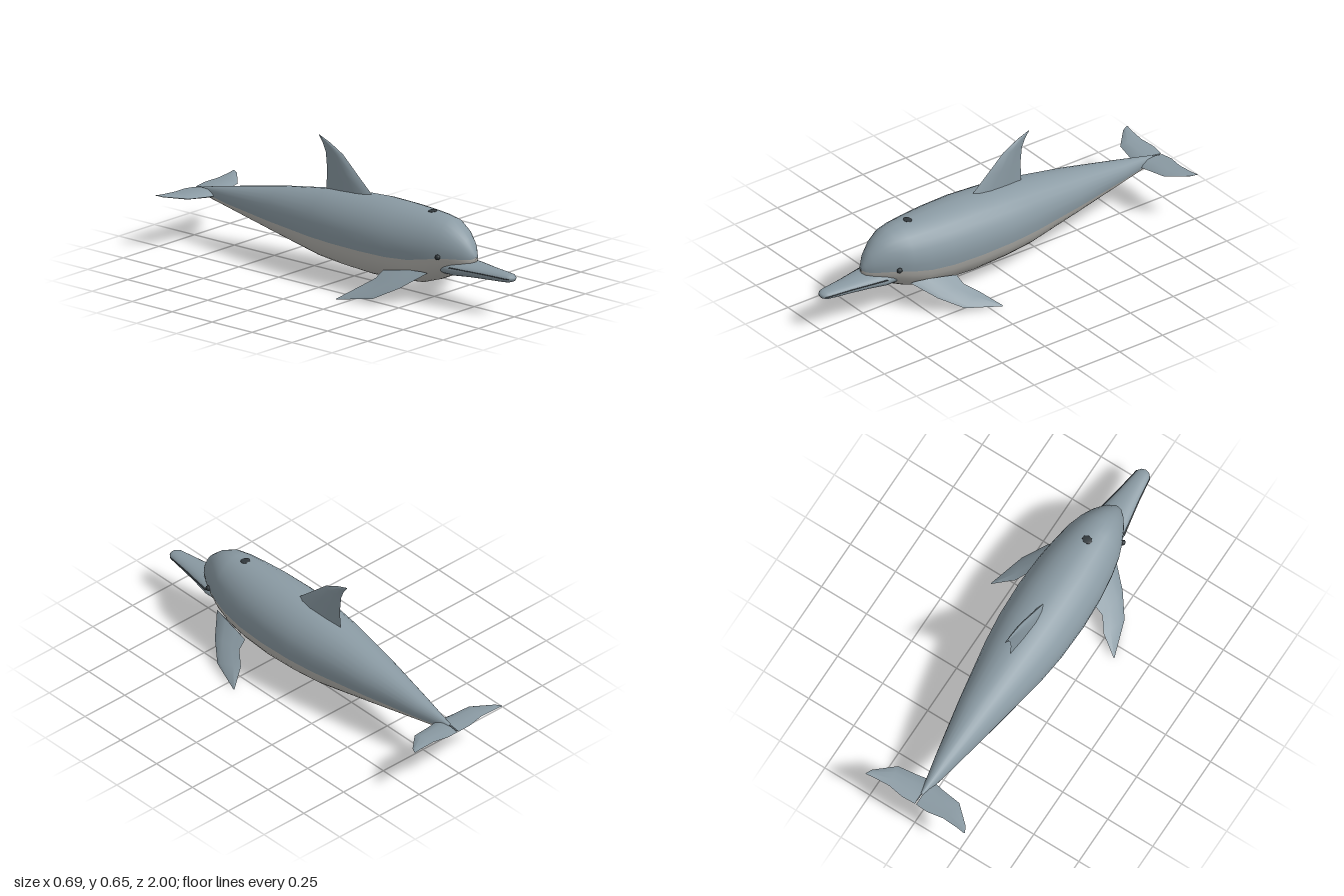
import * as THREE from 'three';
import { toCreasedNormals } from 'three/addons/utils/BufferGeometryUtils.js';

const V = (x, y, z) => new THREE.Vector3(x, y, z);
const paint = (name, color) => Object.assign(new THREE.MeshStandardMaterial({ color }), { name });

// Skin a list of equal-length rings; closed rings are capped and turned outward
function loft(rings, closed = true) {
  const n = rings[0].length, pts = rings.flat(), tris = [];
  const last = closed ? n : n - 1;
  for (let i = 0; i < rings.length - 1; i++) {
    for (let j = 0; j < last; j++) {
      const a = i * n + j, b = i * n + (j + 1) % n;
      tris.push([a, a + n, b], [b, a + n, b + n]);
    }
  }
  if (closed) {
    for (const i of [0, rings.length - 1]) {
      const c = rings[i].reduce((s, p) => s.add(p), V(0, 0, 0)).divideScalar(n);
      pts.push(c);
      for (let j = 0; j < n; j++) {
        const a = i * n + j, b = i * n + (j + 1) % n;
        tris.push(i ? [b, a, pts.length - 1] : [a, b, pts.length - 1]);
      }
    }
    const volume = tris.reduce((s, [a, b, c]) => s + pts[a].dot(V(0, 0, 0).crossVectors(pts[b], pts[c])), 0);
    if (volume < 0) tris.forEach((t) => t.reverse());
  }
  const g = new THREE.BufferGeometry().setFromPoints(pts);
  g.setIndex(tris.flat());
  g.computeVertexNormals();
  return g;
}

// Elliptical arc across the body at depth z
function arc(z, top, bottom, halfWidth, from, to, steps) {
  const mid = (top + bottom) / 2, ry = (top - bottom) / 2, out = [];
  for (let i = 0; i <= steps; i++) {
    const a = from + (to - from) * i / steps;
    out.push(V(halfWidth * Math.cos(a), mid + ry * Math.sin(a), z));
  }
  return out;
}
const oval = (z, top, bottom, hw, steps = 24) => arc(z, top, bottom, hw, 0, Math.PI * 2, steps).slice(0, -1);

// Fin with a lens section; each section is [lead, trail, half thickness]
function fin(sections, normal, side = 1) {
  const profile = [[0, 0], [0.12, 0.65], [0.35, 1], [0.7, 0.6], [1, 0], [0.7, -0.6], [0.35, -1], [0.12, -0.65]];
  const rings = sections.map(([lead, trail, half]) => profile.map(([t, w]) => {
    const p = V(...lead).lerp(V(...trail), t).addScaledVector(normal, half * w);
    p.x *= side;
    return p;
  }));
  return toCreasedNormals(loft(rings), 0.7);
}

export function createModel() {
  const model = new THREE.Group();
  model.name = 'dolphin';
  const skin = paint('blue grey skin', 0x8a9aa3);
  const pale = paint('pale belly', 0xb9b8b3);
  const dark = paint('dark detail', 0x30373b);
  const add = (name, geometry, material) => {
    const mesh = new THREE.Mesh(geometry, material);
    mesh.name = name;
    model.add(mesh);
    return mesh;
  };

  // Body stations: z, top, bottom, half width, height of the colour line
  const body = [
    [0.76, 0.245, 0.235, 0.002, 0.24],
    [0.75, 0.277, 0.2, 0.026, 0.235],
    [0.72, 0.328, 0.175, 0.055, 0.235],
    [0.67, 0.374, 0.153, 0.088, 0.236],
    [0.61, 0.406, 0.125, 0.118, 0.234],
    [0.55, 0.414, 0.098, 0.14, 0.222],
    [0.46, 0.42, 0.067, 0.159, 0.207],
    [0.34, 0.424, 0.056, 0.175, 0.2],
    [0.18, 0.425, 0.05, 0.183, 0.2],
    [0, 0.414, 0.058, 0.177, 0.2],
    [-0.15, 0.398, 0.07, 0.16, 0.2],
    [-0.45, 0.35, 0.123, 0.108, 0.203],
    [-0.75, 0.29, 0.177, 0.05, 0.211],
    [-0.94, 0.25, 0.21, 0.01, 0.224],
  ];
  const half = (upper) => body.map(([z, top, bottom, hw, split]) => {
    const a = Math.asin(THREE.MathUtils.clamp((2 * split - top - bottom) / (top - bottom), -0.95, 0.95));
    return upper ? arc(z, top, bottom, hw, a, Math.PI - a, 16)
      : arc(z, top, bottom, hw, Math.PI - a, Math.PI * 2 + a, 16);
  });
  add('back', loft(half(true), false), skin);
  add('belly', loft(half(false), false), pale);

  // Beak stations: z, top, bottom, half width
  const beak = [
    [0.6, 0.225, 0.14, 0.088], [0.67, 0.223, 0.142, 0.09], [0.76, 0.22, 0.151, 0.072],
    [0.85, 0.214, 0.157, 0.055], [0.93, 0.21, 0.162, 0.043], [0.975, 0.207, 0.166, 0.036],
    [0.994, 0.2, 0.173, 0.022], [1, 0.191, 0.183, 0.006],
  ];
  add('beak', loft(beak.map((s) => oval(...s))), skin);

  // Mouth line: a flat slab just proud of the beak sides
  const mouth = beak.slice(1, -1).map(([z, , , hw], i) => {
    const y = 0.194 - i * 0.0015;
    return oval(Math.min(z, 0.99), y + 0.004, y - 0.004, hw + 0.003);
  });
  add('mouthLine', toCreasedNormals(loft(mouth), 0.7), dark);

  add('dorsalFin', fin([
    [[0, 0.39, 0.145], [0, 0.385, -0.175], 0.022],
    [[0, 0.49, 0.03], [0, 0.49, -0.17], 0.017],
    [[0, 0.58, -0.07], [0, 0.57, -0.178], 0.011],
    [[0, 0.622, -0.15], [0, 0.613, -0.197], 0.006],
    [[0, 0.648, -0.218], [0, 0.646, -0.221], 0.001],
  ], V(1, 0, 0)), skin);

  for (const side of [1, -1]) {
    const label = side > 0 ? 'left' : 'right';
    add(label + 'Flipper', fin([
      [[0.115, 0.152, 0.56], [0.155, 0.13, 0.32], 0.014],
      [[0.21, 0.082, 0.47], [0.2, 0.098, 0.31], 0.012],
      [[0.285, 0.028, 0.37], [0.245, 0.055, 0.25], 0.007],
      [[0.343, 0.002, 0.192], [0.341, 0.004, 0.188], 0.001],
    ], V(0.6, 0.8, 0), side), skin);

    add(label + 'Fluke', fin([
      [[0.004, 0.224, -0.85], [0.004, 0.238, -0.995], 0.018],
      [[0.07, 0.228, -0.864], [0.07, 0.244, -1], 0.014],
      [[0.17, 0.238, -0.88], [0.15, 0.249, -0.988], 0.01],
      [[0.26, 0.252, -0.965], [0.235, 0.253, -0.994], 0.005],
      [[0.275, 0.256, -0.996], [0.273, 0.256, -1], 0.001],
    ], V(0, 1, 0), side), skin);

    const eye = add(label + 'Eye', new THREE.SphereGeometry(1, 14, 10), dark);
    eye.scale.set(0.011, 0.013, 0.014);
    eye.position.set(side * 0.115, 0.242, 0.622);
  }

  // Blowhole patch on top of the head
  const blowhole = add('blowhole', new THREE.SphereGeometry(1, 16, 8), dark);
  blowhole.scale.set(0.025, 0.004, 0.02);
  blowhole.position.set(0, 0.418, 0.49);

  return model;
}
